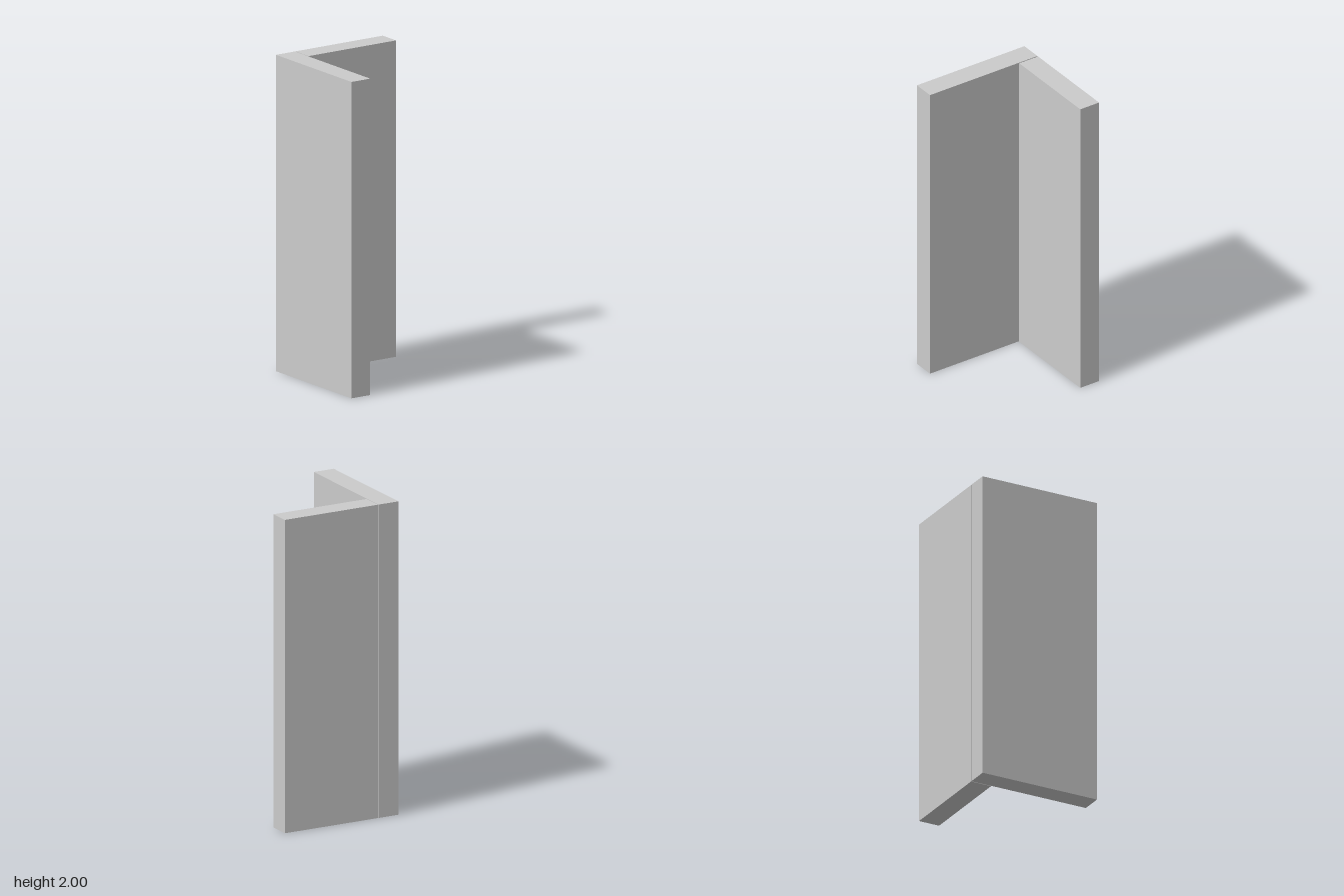
import * as THREE from 'three';

const HEIGHT = 2;
const HALF = 0.4; // half of the footprint
const THICK = 0.14; // panel thickness
const GAP = 0.006; // narrow joint between the panels

export function createModel() {
  const group = new THREE.Group();
  group.name = 'cornerPanels';
  const material = new THREE.MeshStandardMaterial({ color: 0xcccccc, flatShading: true });

  // Upright panel spanning x0..x1 and z0..z1
  const addPanel = (name, x0, x1, z0, z1) => {
    const panel = new THREE.Mesh(new THREE.BoxGeometry(x1 - x0, HEIGHT, z1 - z0), material);
    panel.name = name;
    panel.position.set((x0 + x1) / 2, HEIGHT / 2, (z0 + z1) / 2);
    group.add(panel);
  };

  // Full-depth side panel, and a back panel butting up to it
  addPanel('sidePanel', -HALF, -HALF + THICK, -HALF, HALF);
  addPanel('backPanel', -HALF + THICK + GAP, HALF, -HALF, -HALF + THICK);

  return group;
}
